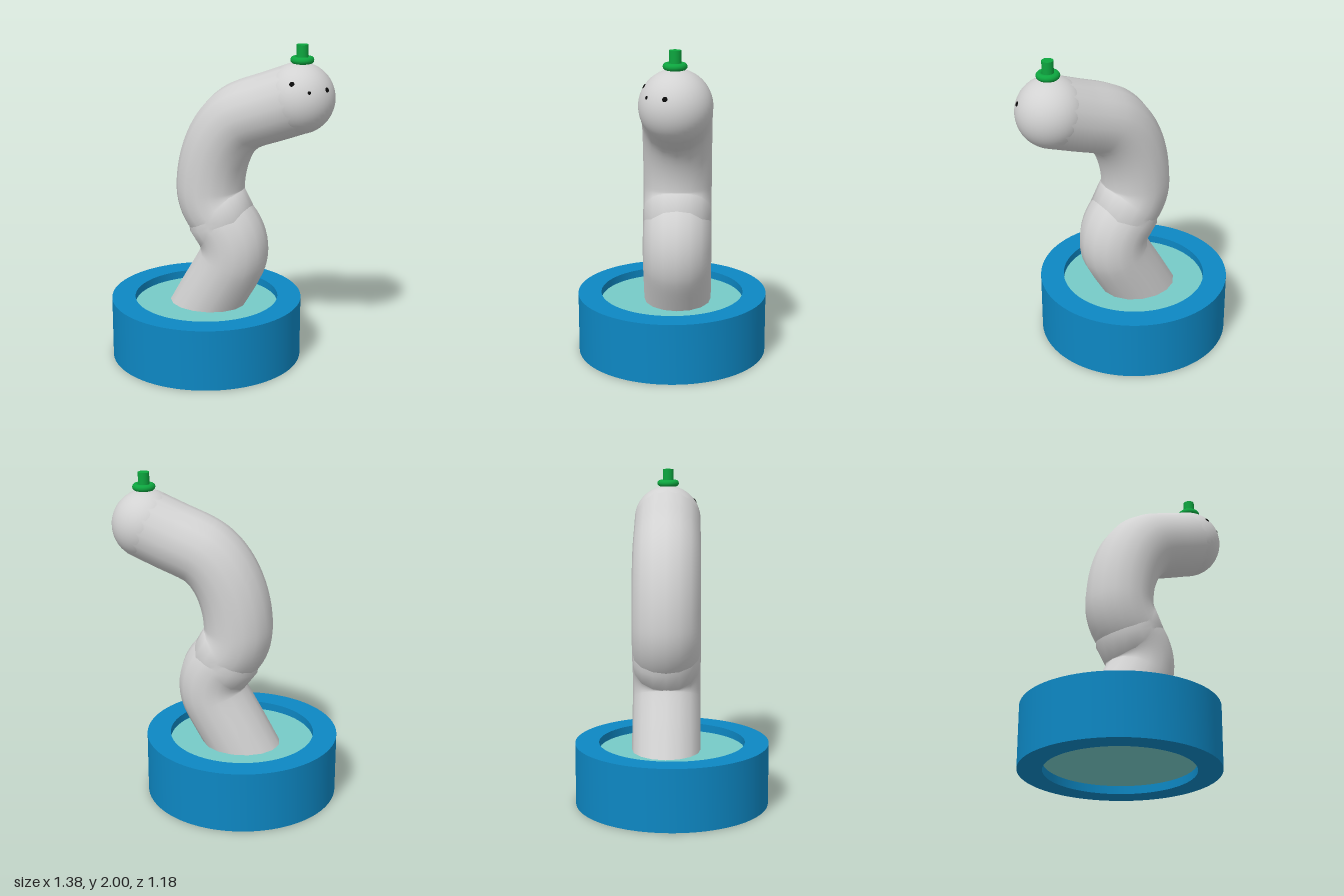
import * as THREE from 'three';
import { toCreasedNormals } from 'three/addons/utils/BufferGeometryUtils.js';

const mat = (name, color) => {
  const m = new THREE.MeshStandardMaterial({ color });
  m.name = name;
  return m;
};

export function createModel() {
  const group = new THREE.Group();
  const blue = mat('rim blue', 0x0d87c3);
  const aqua = mat('water aqua', 0x76cac7);
  const grey = mat('body grey', 0xd2d2d2);
  const green = mat('stem green', 0x0da63f);
  const black = mat('eye black', 0x080808);

  const add = (name, geometry, material, x = 0, y = 0, z = 0) => {
    const mesh = new THREE.Mesh(geometry, material);
    mesh.name = name;
    mesh.position.set(x, y, z);
    group.add(mesh);
    return mesh;
  };

  // Round basin wall, open through the middle
  const baseX = -0.105;
  const ring = new THREE.Shape().absarc(0, 0, 0.59, 0, Math.PI * 2, false);
  ring.holes.push(new THREE.Path().absarc(0, 0, 0.445, 0, Math.PI * 2, true));
  const wall = new THREE.ExtrudeGeometry(ring, { depth: 0.38, bevelEnabled: false, curveSegments: 64 });
  wall.rotateX(-Math.PI / 2);
  add('basin', toCreasedNormals(wall, 0.6), blue, baseX, 0, 0);

  // Water filling, recessed at the top and the bottom
  add('water', new THREE.CylinderGeometry(0.446, 0.446, 0.28, 64), aqua, baseX, 0.19, 0);

  // Body centreline: lean, two tight bends, then a wide bend toward the head
  const r = 0.21, bodyZ = -0.035;
  const points = [];
  const put = (x, y) => points.push(new THREE.Vector3(x, y, bodyZ));
  const arc = (cx, cy, from, to, n) => {
    for (let i = 0; i <= n; i++) {
      const a = THREE.MathUtils.degToRad(from + (to - from) * i / n);
      put(cx + r * Math.cos(a), cy + r * Math.sin(a));
    }
  };
  put(-0.19, 0.19);
  put(-0.08, 0.385);
  arc(-0.14, 0.7, -30, 52, 7);
  arc(0.12, 1.08, 232, 180, 5);
  const bend = new THREE.CubicBezierCurve(
    new THREE.Vector2(-0.09, 1.08), new THREE.Vector2(-0.09, 1.27),
    new THREE.Vector2(0, 1.5), new THREE.Vector2(0.17, 1.565));
  bend.getPoints(8).slice(1).forEach((p) => put(p.x, p.y));
  put(0.32, 1.622);
  put(0.48, 1.685);
  const path = new THREE.CatmullRomCurve3(points);
  add('body', new THREE.TubeGeometry(path, 90, r, 16, false), grey);

  // Rounded head
  const head = new THREE.Vector3(0.48, 1.685, bodyZ);
  add('head', new THREE.SphereGeometry(r, 40, 28), grey, head.x, head.y, head.z);

  // Flat face dots lying on the head
  const dot = (name, radius, x, y, z) => {
    const n = new THREE.Vector3(x, y, z).normalize();
    const mesh = add(name, new THREE.SphereGeometry(radius, 14, 10), black);
    mesh.position.copy(head).addScaledVector(n, r);
    mesh.quaternion.setFromUnitVectors(new THREE.Vector3(0, 0, 1), n);
    mesh.scale.z = 0.3;
  };
  dot('rightEye', 0.015, 0.02, 0.115, 0.175);
  dot('leftEye', 0.015, 0.19, 0.075, 0.055);
  dot('nose', 0.01, 0.12, 0.07, 0.157);

  // Stem with a rounded collar
  const collar = new THREE.TorusGeometry(0.048, 0.021, 12, 32).rotateX(Math.PI / 2);
  add('collar', collar, green, 0.495, 1.911, -0.032);
  add('stem', new THREE.CylinderGeometry(0.034, 0.034, 0.13, 28), green, 0.495, 1.935, -0.032);

  return group;
}
